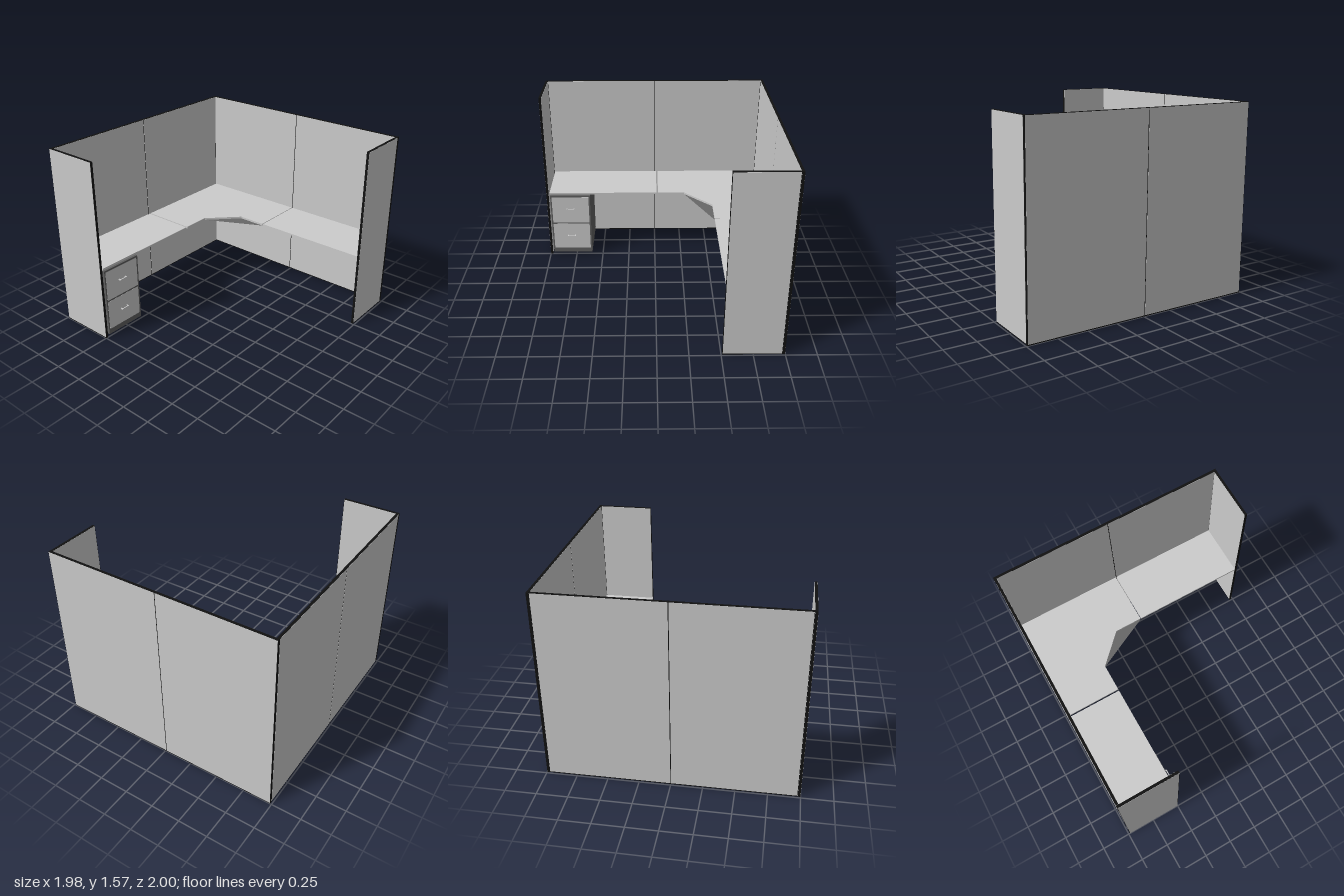
import * as THREE from 'three';

const mat = (color) => new THREE.MeshStandardMaterial({ color });

export function createModel() {
  const model = new THREE.Group();
  const grey = mat(0xcccccc);
  const dark = mat(0x5f5f5f);
  const black = mat(0x111111);
  const shade = new THREE.MeshStandardMaterial({ color: 0x676767, side: THREE.DoubleSide });

  // Box given by its minimum and maximum corners
  const box = (parent, name, material, [x0, y0, z0], [x1, y1, z1]) => {
    const mesh = new THREE.Mesh(new THREE.BoxGeometry(x1 - x0, y1 - y0, z1 - z0), material);
    mesh.position.set((x0 + x1) / 2, (y0 + y1) / 2, (z0 + z1) / 2);
    mesh.name = name;
    parent.add(mesh);
    return mesh;
  };

  // Partition panel: black frame with a grey skin on both faces
  const H = 1.57, T = 0.022, SKIN = 0.001;
  const panel = (name, x0, z0, x1, z1) => {
    const group = new THREE.Group();
    group.name = name;
    const alongX = x1 - x0 > z1 - z0;
    const length = alongX ? x1 - x0 : z1 - z0;
    box(group, 'panelFrame', black, [-length / 2, 0, -T / 2 + SKIN], [length / 2, H, T / 2 - SKIN]);
    for (const s of [-1, 1]) {
      const zc = s * (T / 2 - SKIN / 2);
      box(group, 'panelSkin', grey,
        [-length / 2 + 0.003, 0.008, zc - SKIN / 2], [length / 2 - 0.003, H - 0.003, zc + SKIN / 2]);
    }
    group.position.set((x0 + x1) / 2, 0, (z0 + z1) / 2);
    if (!alongX) group.rotation.y = Math.PI / 2;
    model.add(group);
  };
  panel('backPanelRight', -0.988, -1, -0.01, -1 + T);
  panel('backPanelLeft', -0.01, -1, 0.988, -1 + T);
  panel('sidePanelBack', -0.988, -1 + T, -0.988 + T, 0);
  panel('sidePanelFront', -0.988, 0, -0.988 + T, 1 - T);
  panel('frontReturnPanel', -0.988, 1 - T, -0.5, 1);
  panel('leftReturnPanel', 0.988 - T, -1 + T, 0.988, -0.51);

  // Worktops
  const Y0 = 0.638, Y1 = 0.655;
  box(model, 'sideWorktop', grey, [-0.966, Y0, -0.015], [-0.5, Y1, 0.97]);
  box(model, 'backWorktop', grey, [-0.01, Y0, -0.978], [0.966, Y1, -0.51]);

  // Corner worktop with a chamfered inner corner
  const outline = [[-0.966, -0.978], [-0.016, -0.978], [-0.016, -0.51], [-0.26, -0.51],
    [-0.5, -0.27], [-0.5, -0.029], [-0.966, -0.029]];
  const shape = new THREE.Shape(outline.map(([x, z]) => new THREE.Vector2(x, -z)));
  const cornerGeometry = new THREE.ExtrudeGeometry(shape, { depth: Y1 - Y0, bevelEnabled: false });
  cornerGeometry.rotateX(-Math.PI / 2);
  const corner = new THREE.Mesh(cornerGeometry, grey);
  corner.name = 'cornerWorktop';
  corner.position.y = Y0;
  model.add(corner);

  // Thin gusset filling the inner corner at the underside
  const gussetShape = new THREE.Shape(
    [[-0.5, -0.27], [-0.016, -0.51], [-0.26, -0.51]].map(([x, z]) => new THREE.Vector2(x, -z)));
  const gusset = new THREE.Mesh(new THREE.ShapeGeometry(gussetShape).rotateX(-Math.PI / 2), shade);
  gusset.name = 'cornerGusset';
  gusset.position.y = Y0;
  model.add(gusset);

  // Drawer cabinet under the side worktop
  const cabinet = new THREE.Group();
  cabinet.name = 'drawerCabinet';
  model.add(cabinet);
  const front = -0.493;
  box(cabinet, 'cabinetBody', dark, [-0.966, 0.025, 0.6], [front - 0.001, 0.628, 0.966]);
  for (const [y0, y1, handleY] of [[0.072, 0.333, 0.21], [0.347, 0.613, 0.492]]) {
    box(cabinet, 'drawerFront', grey, [front - 0.006, y0, 0.614], [front, y1, 0.954]);
    // Handle: a bar on two posts
    const [h0, h1] = [handleY - 0.005, handleY + 0.005];
    box(cabinet, 'handleBar', grey, [-0.477, h0, 0.748], [-0.469, h1, 0.822]);
    for (const z of [0.748, 0.814]) {
      box(cabinet, 'handlePost', grey, [front, h0, z], [-0.477, h1, z + 0.008]);
    }
  }

  return model;
}
